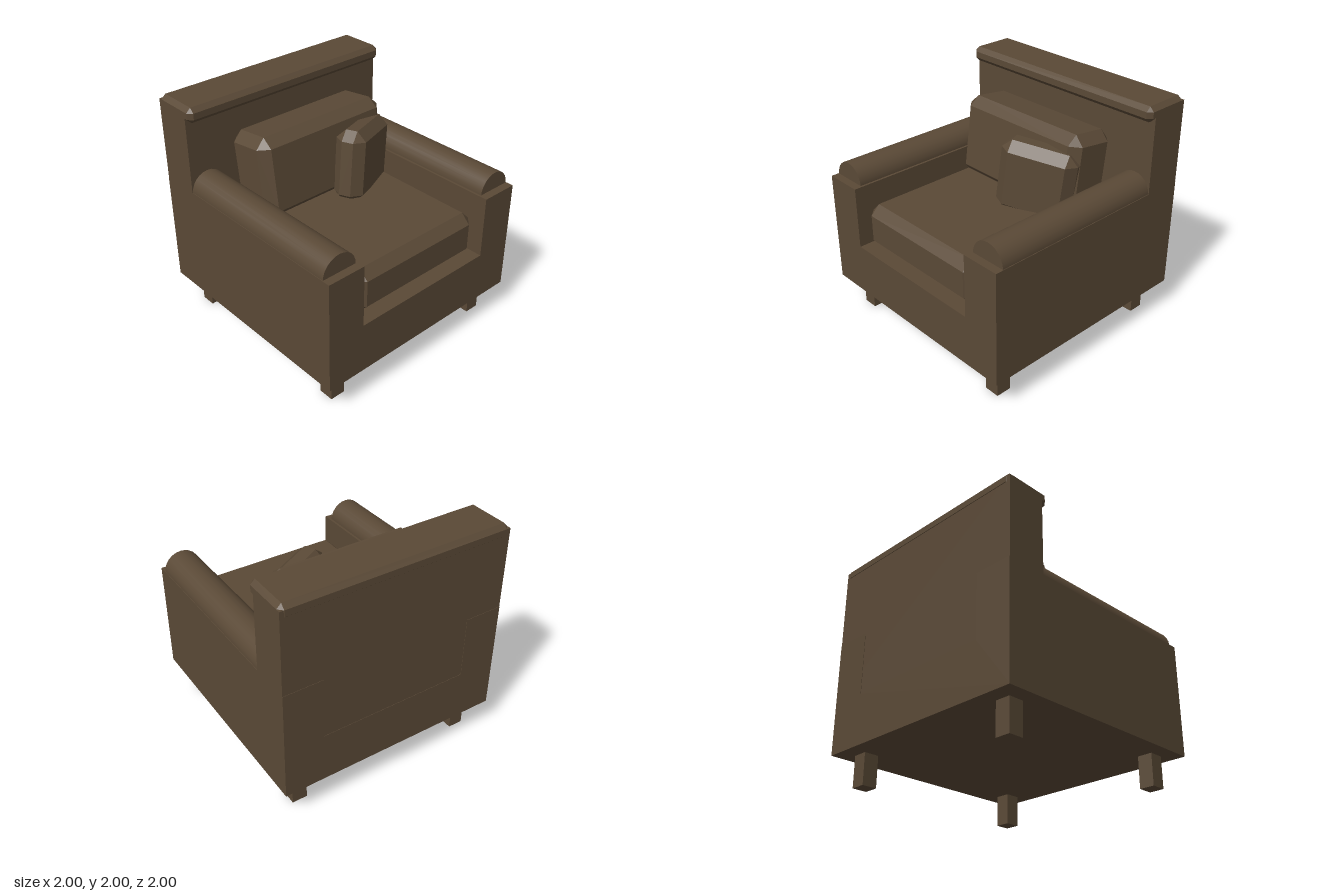
import * as THREE from 'three';
import { ConvexGeometry } from 'three/addons/geometries/ConvexGeometry.js';

const rad = THREE.MathUtils.degToRad;

// Box with flat bevels on every edge and cut corners
function bevelledBox(w, h, d, c) {
  const points = [];
  for (const sx of [-1, 1]) for (const sy of [-1, 1]) for (const sz of [-1, 1]) {
    const x = w / 2, y = h / 2, z = d / 2;
    points.push(
      new THREE.Vector3(sx * x, sy * (y - c), sz * (z - c)),
      new THREE.Vector3(sx * (x - c), sy * y, sz * (z - c)),
      new THREE.Vector3(sx * (x - c), sy * (y - c), sz * z));
  }
  return new ConvexGeometry(points);
}

export function createModel() {
  const group = new THREE.Group();
  group.name = 'armchair';
  const fabric = new THREE.MeshStandardMaterial({ color: 0x5a4936 });
  fabric.name = 'brown fabric';

  function add(name, geometry, x, y, z) {
    const mesh = new THREE.Mesh(geometry, fabric);
    mesh.name = name;
    mesh.position.set(x, y, z);
    group.add(mesh);
    return mesh;
  }

  // Base and both arms as one U-shaped body
  const u = new THREE.Shape([
    [-1, 0.27], [1, 0.27], [1, 1.25], [0.665, 1.25],
    [0.665, 0.71], [-0.665, 0.71], [-0.665, 1.25], [-1, 1.25],
  ].map(([x, y]) => new THREE.Vector2(x, y)));
  add('bodyWithArms', new THREE.ExtrudeGeometry(u, { depth: 2, bevelEnabled: false }), 0, 0, -1);

  // Backrest and the bevelled roll along its top
  add('backrest', new THREE.BoxGeometry(2, 1.25, 0.347), 0, 1.335, -0.8235);
  add('topRoll', bevelledBox(2, 0.13, 0.42, 0.038), 0, 1.935, -0.79);

  // Half-round arm pads
  const pad = new THREE.CylinderGeometry(0.155, 0.155, 1.58, 12, 1, false, Math.PI / 2, Math.PI)
    .rotateX(Math.PI / 2);
  for (const [side, s] of [['left', 1], ['right', -1]]) {
    add(side + 'ArmPad', pad, s * 0.84, 1.247, 0.14);
    // Legs
    for (const [end, e] of [['Front', 1], ['Back', -1]]) {
      add(side + end + 'Leg', new THREE.BoxGeometry(0.13, 0.28, 0.13), s * 0.8, 0.14, e * 0.8);
    }
  }

  // Cushions
  add('seatCushion', bevelledBox(1.29, 0.39, 1.58, 0.08), 0, 0.906, 0.14);
  const back = add('backCushion', bevelledBox(1.29, 0.7, 0.46, 0.082), 0, 1.383, -0.35);
  back.rotation.x = rad(-7.5);
  const pillow = add('throwPillow', bevelledBox(0.64, 0.63, 0.26, 0.08), 0.323, 1.326, -0.085);
  pillow.rotation.set(0, rad(24), rad(-6.5), 'YXZ');

  return group;
}
